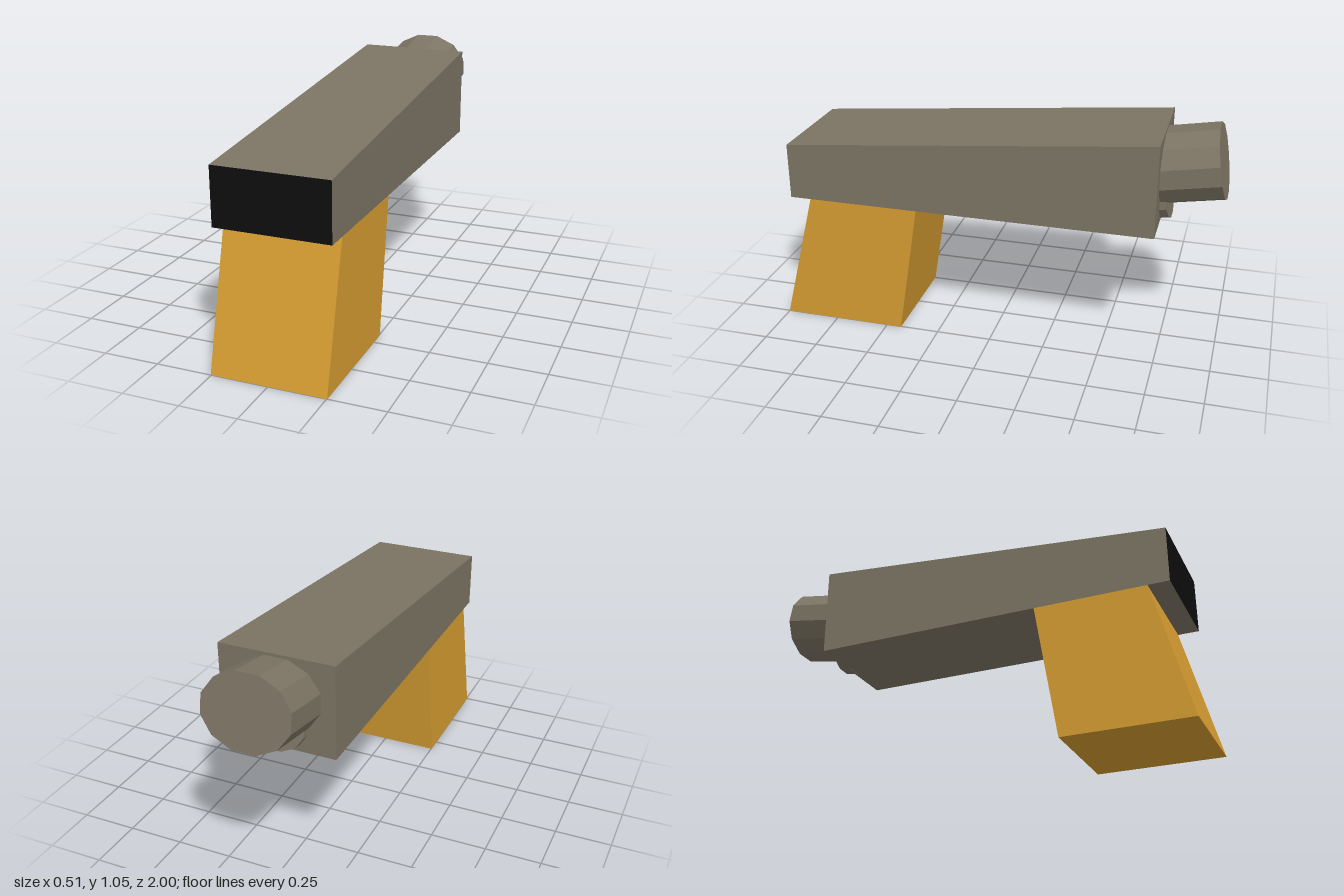
import * as THREE from 'three';

const grey = new THREE.MeshStandardMaterial({ name: 'warm grey', color: 0x7c7464, flatShading: true });
const black = new THREE.MeshStandardMaterial({ name: 'black', color: 0x0e0e0e, flatShading: true });
const ochre = new THREE.MeshStandardMaterial({ name: 'ochre', color: 0xd59c31, flatShading: true });

const HALF_WIDTH = 0.253;
const TILT = THREE.MathUtils.degToRad(10);

// Box whose side outline is given by four [z, y] corners
function wedge(name, material, { frontBottom, frontTop, backBottom, backTop }) {
  const geometry = new THREE.BoxGeometry(2 * HALF_WIDTH, 1, 1);
  const p = geometry.attributes.position;
  for (let i = 0; i < p.count; i++) {
    const top = p.getY(i) > 0;
    const front = p.getZ(i) > 0;
    const [z, y] = front ? (top ? frontTop : frontBottom) : (top ? backTop : backBottom);
    p.setY(i, y);
    p.setZ(i, z);
  }
  geometry.computeVertexNormals();
  const mesh = new THREE.Mesh(geometry, material);
  mesh.name = name;
  return mesh;
}

// Flattened twelve-sided cylinder, tilted upward to the rear, placed by its rear cap centre
function tiltedKnob(name, radius, length, y, z) {
  const geometry = new THREE.CylinderGeometry(radius, radius, length, 12);
  geometry.rotateY(Math.PI / 12);
  geometry.scale(1, 1, 0.83);
  geometry.translate(0, -length / 2, 0);
  geometry.rotateX(-Math.PI / 2 + TILT);
  geometry.translate(0, y, z);
  geometry.computeVertexNormals();
  const mesh = new THREE.Mesh(geometry, grey);
  mesh.name = name;
  return mesh;
}

export function createModel() {
  const model = new THREE.Group();
  model.name = 'device';

  // Tapered body with a black front face (fifth box side)
  model.add(wedge('body', [grey, grey, grey, grey, black, grey], {
    frontBottom: [0.935, 0.608], frontTop: [0.935, 0.862],
    backBottom: [-0.72, 0.608], backTop: [-0.72, 1.02],
  }));

  // Slanted handle
  model.add(wedge('handle', ochre, {
    frontBottom: [1, 0], frontTop: [0.84, 0.608],
    backBottom: [0.43, 0], backTop: [0.335, 0.608],
  }));

  // Large rear knob and the small one below it
  model.add(tiltedKnob('rearKnob', 0.197, 0.32, 0.89, -0.968));
  model.add(tiltedKnob('lowerKnob', 0.132, 0.06, 0.72, -0.746));

  return model;
}
